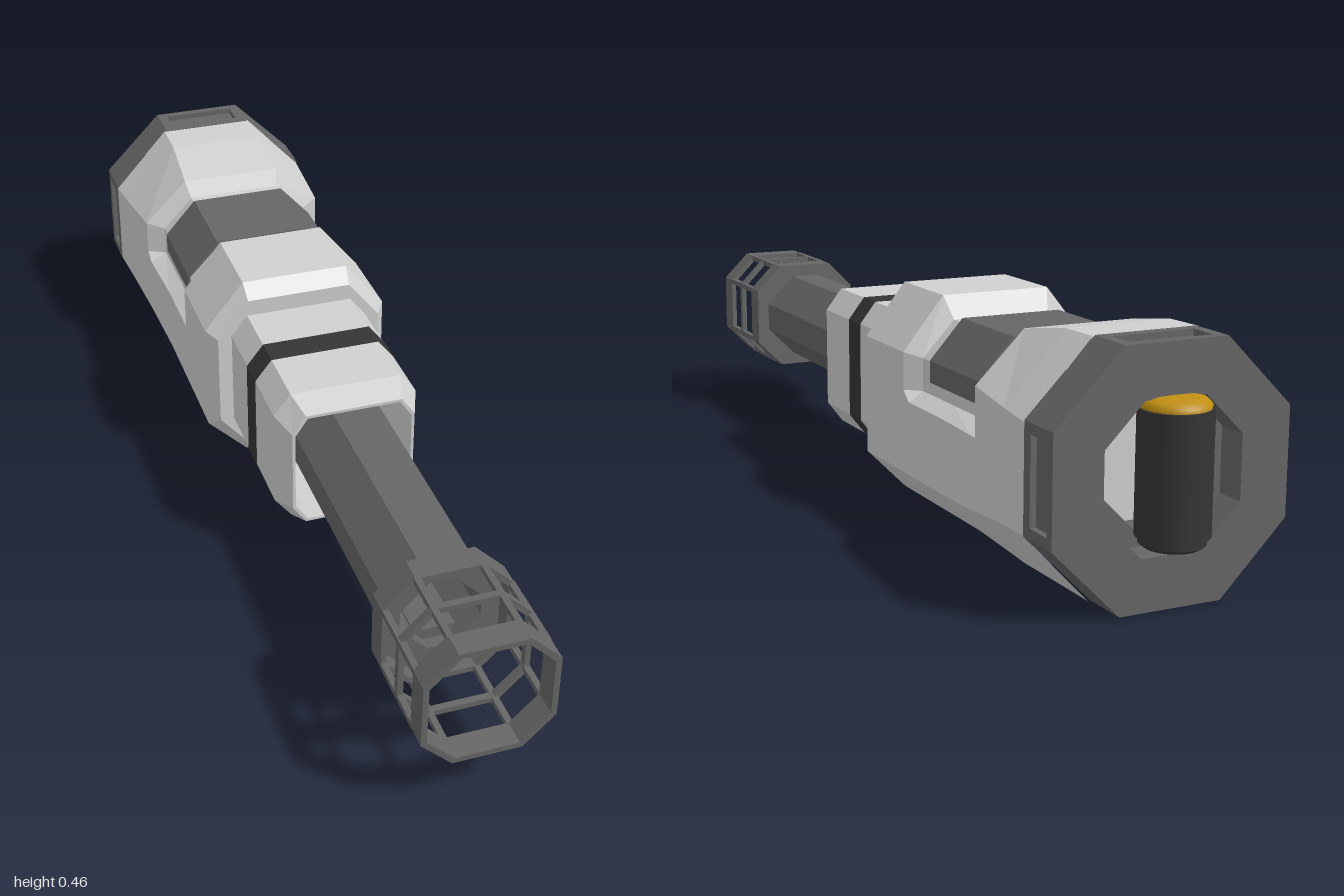
import * as THREE from 'three';

const CY = 0.235; // height of the long axis

// Right half of an outline (bottom to top) mirrored into a full ring
const mirror = half => [...half, ...half.map(([x, y]) => [-x, y]).reverse()];

// Octagon: half width w, half height h, half flat at top t, half flat at side s
const oct = (w, t, h = w, s = t) =>
  mirror([[t, CY - h], [w, CY - s], [w, CY + s], [t, CY + h]]);

// Skin through rings [z, points]; rings run from back to front for an outer surface
function loft(rings) {
  const pos = [];
  for (let k = 0; k + 1 < rings.length; k++) {
    const [z0, p] = rings[k], [z1, q] = rings[k + 1];
    p.forEach((a, i) => {
      const j = (i + 1) % p.length;
      const A = [...a, z0], B = [...p[j], z0], C = [...q[j], z1], D = [...q[i], z1];
      pos.push(...A, ...B, ...C, ...A, ...C, ...D);
    });
  }
  const g = new THREE.BufferGeometry();
  g.setAttribute('position', new THREE.Float32BufferAttribute(pos, 3));
  g.computeVertexNormals();
  return g;
}

// Straight prism between two z values, with an optional hole
function prism(outline, z0, z1, hole) {
  const v = pts => pts.map(([x, y]) => new THREE.Vector2(x, y));
  const shape = new THREE.Shape(v(outline));
  if (hole) shape.holes.push(new THREE.Path(v(hole)));
  return new THREE.ExtrudeGeometry(shape, { depth: z1 - z0, bevelEnabled: false }).translate(0, 0, z0);
}

export function createModel() {
  const root = new THREE.Group();
  const mat = (name, color, flatShading = true) => {
    const m = new THREE.MeshStandardMaterial({ color });
    m.name = name;
    m.flatShading = flatShading;
    return m;
  };
  const light = mat('lightGrey', 0xd0d0d0);
  const dark = mat('darkGrey', 0x666666);
  const black = mat('black', 0x353535);
  const smoothBlack = mat('cellBlack', 0x353535, false);
  const gold = mat('gold', 0xc08f14, false);
  const add = (name, geo, m, parent = root) => {
    const mesh = new THREE.Mesh(geo, m);
    mesh.name = name;
    parent.add(mesh);
    return mesh;
  };

  // Main body: octagonal shell with a saddle-shaped recess over the top half
  const body = (z, t, bot, w, lo, wi, hi, ti, top) =>
    [z, mirror([[t, bot], [w, lo], [w, 0.25], [wi, 0.27], [wi, hi], [ti, top]])];
  add('mainBody', loft([
    body(-0.84, 0.105, 0.003, 0.23, 0.135, 0.23, 0.33, 0.105, 0.465),
    body(-0.75, 0.105, 0.003, 0.222, 0.13, 0.222, 0.335, 0.105, 0.463),
    body(-0.615, 0.11, 0.006, 0.209, 0.115, 0.209, 0.345, 0.112, 0.44),
    body(-0.595, 0.11, 0.008, 0.207, 0.112, 0.17, 0.335, 0.103, 0.405),
    body(-0.45, 0.115, 0.02, 0.2, 0.105, 0.17, 0.335, 0.103, 0.405),
    body(-0.315, 0.115, 0.02, 0.2, 0.105, 0.17, 0.335, 0.103, 0.405),
    body(-0.29, 0.115, 0.02, 0.2, 0.105, 0.2, 0.345, 0.115, 0.45),
    body(-0.11, 0.115, 0.02, 0.2, 0.105, 0.2, 0.345, 0.115, 0.45),
    body(-0.08, 0.112, 0.05, 0.18, 0.13, 0.18, 0.335, 0.112, 0.42),
    body(-0.08, 0.09, 0.11, 0.12, 0.14, 0.12, 0.32, 0.09, 0.36),
  ]), light);

  // Dark panel wrapped over the recess
  add('saddlePanel', prism(mirror([[0.174, 0.295], [0.174, 0.338], [0.105, 0.415]]), -0.56, -0.355), dark);

  // Sleeve: light shell, black band and hollow chamfered mouth
  const sleeve = oct(0.15, 0.115, 0.15, 0.105);
  const mouth = oct(0.128, 0.1, 0.13, 0.09);
  add('sleeveRear', prism(sleeve, -0.1, 0.04, oct(0.09, 0.03)), light);
  add('sleeveBand', prism(oct(0.151, 0.115, 0.151, 0.105), 0.04, 0.1, oct(0.09, 0.03)), black);
  add('sleeveMouth', loft([
    [0.1, sleeve], [0.23, sleeve], [0.285, mouth], [0.285, oct(0.122, 0.096, 0.124, 0.086)],
    [0.102, oct(0.122, 0.096, 0.124, 0.086)], [0.102, oct(0.09, 0.03)],
  ]), light);

  // Hollow barrel with a pale plate deep inside
  const bore = oct(0.078, 0.022);
  add('barrel', prism(oct(0.098, 0.032), -0.07, 0.76, bore), dark);
  add('barrelFloor', new THREE.BoxGeometry(0.08, 0.023, 0.8).translate(0, 0.1685, 0.34), dark);
  add('borePlate', prism(oct(0.085, 0.025), -0.08, -0.06), light);

  // Muzzle cage: rings joined by a bar at every corner
  const cage = new THREE.Group();
  cage.name = 'muzzleCage';
  root.add(cage);
  const outer = oct(0.125, 0.065), inner = oct(0.114, 0.06);
  add('cageBase', prism(outer, 0.75, 0.765, bore), dark, cage);
  [[0.765, 0.8], [0.87, 0.884], [0.95, 1]].forEach(([a, b]) =>
    add('cageRing', prism(outer, a, b, inner), dark, cage));
  oct(0.119, 0.062).forEach(([x, y]) =>
    add('cageBar', new THREE.BoxGeometry(0.012, 0.012, 0.16).translate(x, y, 0.875), dark, cage));

  // Rear collar: three slices, the middle one notched for four shallow slots
  const collar = new THREE.Group();
  collar.name = 'rearCollar';
  root.add(collar);
  const W = 0.231, S = 0.1;
  const side = [[W, -S], [W, -0.08], [W - 0.012, -0.08], [W - 0.012, 0.08], [W, 0.08], [W, S]];
  const notched = [];
  for (let k = 0, pts = side; k < 4; k++, pts = pts.map(([x, y]) => [-y, x]))
    notched.push(...pts.map(([x, y]) => [x, y + CY]));
  const recess = oct(0.135, 0.06);
  add('collarFront', prism(oct(W, S), -0.86, -0.838, recess), dark, collar);
  add('collarSlots', prism(notched, -0.917, -0.86, recess), dark, collar);
  add('collarBack', prism(oct(W, S), -0.935, -0.917, recess), dark, collar);
  add('recessRing', prism(oct(0.14, 0.062), -0.875, -0.83, oct(0.1, 0.042)), dark, collar);
  add('recessPlate', prism(oct(0.12, 0.05), -0.835, -0.82), light, collar);

  // Upright power cell with a rounded foot and a gold cap
  const cell = new THREE.Group();
  cell.name = 'powerCell';
  cell.position.set(0, 0, -0.935);
  root.add(cell);
  const lathe = pts => new THREE.LatheGeometry(pts.map(([x, y]) => new THREE.Vector2(x, y)), 32);
  add('cellCasing', lathe([[0, 0.116], [0.05, 0.116], [0.058, 0.122]]), smoothBlack, cell);
  add('cellFoot', lathe([[0.058, 0.122], [0.058, 0.135]]), smoothBlack, cell);
  add('cellWall', new THREE.CylinderGeometry(0.065, 0.065, 0.22, 32).translate(0, 0.245, 0), smoothBlack, cell);
  add('cellCap', lathe([[0.06, 0.354], [0.06, 0.362], [0.052, 0.37], [0.035, 0.374], [0, 0.375]]), gold, cell);

  return root;
}
